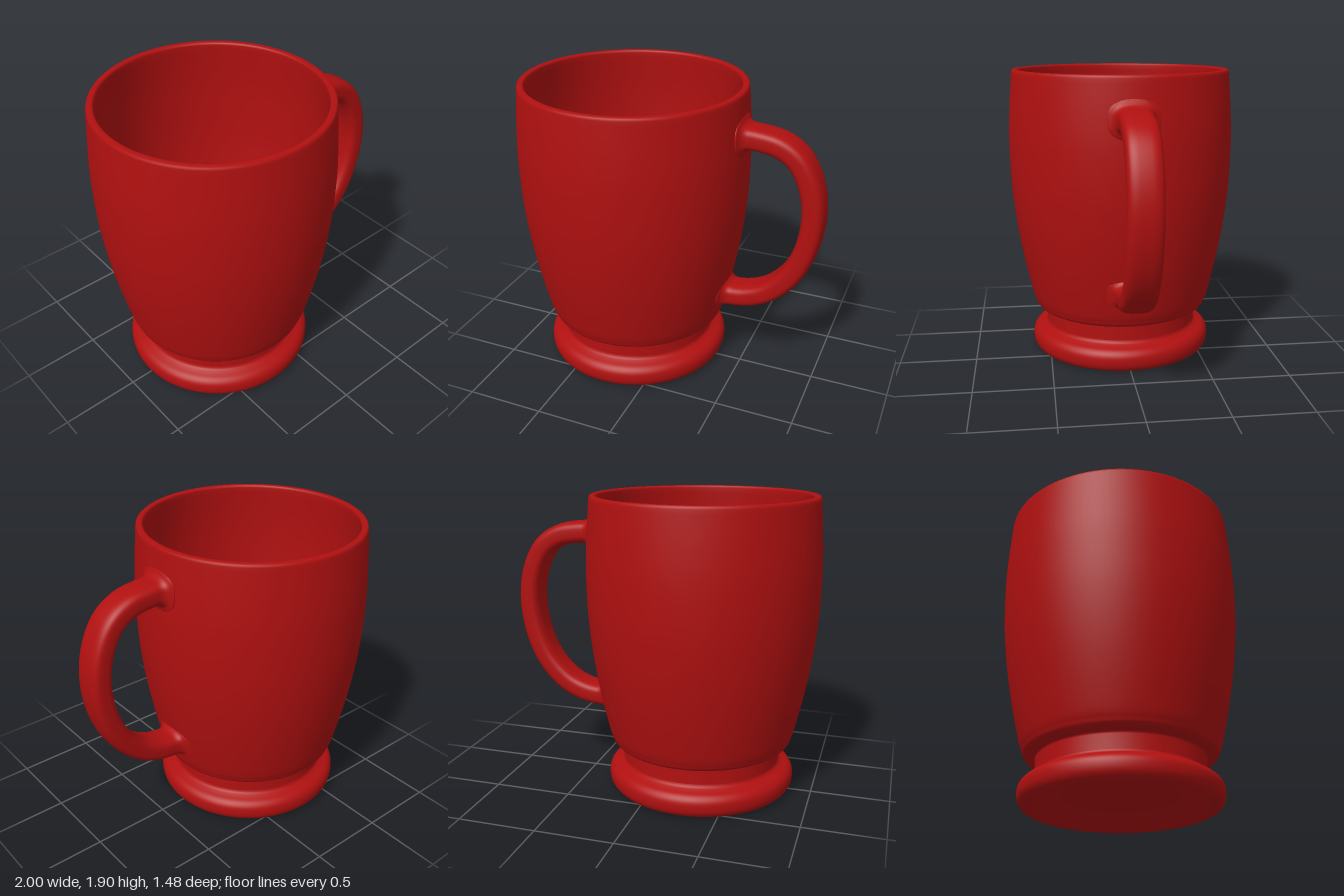
import * as THREE from 'three';

const AXIS_X = -0.26;
const v2 = ([x, y]) => new THREE.Vector2(x, y);
const spline = (pts, n) => new THREE.SplineCurve(pts.map(v2)).getPoints(n);

// outer wall of the cup: radius, height
const wall = spline([[0.59, 0.34], [0.61, 0.4], [0.655, 0.6], [0.692, 0.8], [0.719, 1.0],
  [0.735, 1.2], [0.74, 1.45], [0.732, 1.65], [0.715, 1.88]], 48);

function wallRadius(y) {
  const i = Math.max(1, wall.findIndex((p) => p.y >= y));
  const a = wall[i - 1], b = wall[i];
  return a.x + (b.x - a.x) * (y - a.y) / (b.y - a.y);
}

// one closed turned profile: underside, foot, neck, wall, lip, inside
function makeBody(material) {
  const foot = spline([[0.55, 0], [0.585, 0.01], [0.605, 0.04], [0.61, 0.08], [0.603, 0.115],
    [0.58, 0.142], [0.545, 0.158], [0.52, 0.172], [0.511, 0.19]], 32);
  const shoulder = spline([[0.51, 0.28], [0.515, 0.293], [0.54, 0.298], [0.57, 0.307], [0.585, 0.325]], 14);
  const inside = spline([[0.668, 1.885], [0.683, 1.65], [0.685, 1.45], [0.677, 1.2], [0.659, 1.0],
    [0.63, 0.8], [0.588, 0.6], [0.545, 0.46], [0.51, 0.39], [0.455, 0.35], [0.425, 0.31],
    [0.415, 0.26], [0.395, 0.22], [0.36, 0.205]], 64);
  const profile = [
    ...[[0, 0.08], [0.34, 0.08], [0.36, 0.078], [0.42, 0.06], [0.49, 0.02], [0.515, 0.003], [0.525, 0]].map(v2),
    ...foot, ...shoulder, ...wall,
    ...[[0.712, 1.893], [0.704, 1.9], [0.68, 1.9], [0.672, 1.896]].map(v2),
    ...inside, v2([0.34, 0.203]), v2([0, 0.203]),
  ];
  const body = new THREE.Mesh(new THREE.LatheGeometry(profile, 96), material);
  body.name = 'cupBody';
  body.position.x = AXIS_X;
  return body;
}

// rounded-rectangle section swept along the grip, flaring where it meets the wall
function makeHandle(material) {
  const path = new THREE.SplineCurve([[0.445, 1.64], [0.55, 1.64], [0.7, 1.613], [0.82, 1.53],
    [0.9, 1.37], [0.927, 1.18], [0.9, 0.97], [0.82, 0.775], [0.69, 0.63], [0.54, 0.557],
    [0.365, 0.535]].map(v2));
  const rings = 120, sides = 40, fillet = 0.06;
  const positions = [], index = [];
  const rounded = (c) => Math.sign(c) * Math.pow(Math.abs(c), 0.62);
  for (let i = 0; i <= rings; i++) {
    const u = 0.5 - 0.5 * Math.cos(Math.PI * i / rings);
    const p = path.getPointAt(u), t = path.getTangentAt(u);
    for (let j = 0; j < sides; j++) {
      const a = j / sides * Math.PI * 2;
      const n = 0.071 * rounded(Math.cos(a)), z = 0.105 * rounded(Math.sin(a));
      const x = p.x - t.y * n, y = p.y + t.x * n;
      const gap = Math.hypot(x - AXIS_X, z) - wallRadius(y);
      const k = fillet - THREE.MathUtils.clamp(gap, 0, fillet);
      const flare = 0.9 * (fillet - Math.sqrt(fillet * fillet - k * k));
      const len = Math.hypot(n, z);
      const dn = flare * n / len, dz = flare * z / len;
      positions.push(x - t.y * dn, y + t.x * dn, z + dz);
      if (i < rings) {
        const q = i * sides + j, r = i * sides + (j + 1) % sides;
        index.push(q, r, q + sides, r, r + sides, q + sides);
      }
    }
  }
  const geometry = new THREE.BufferGeometry();
  geometry.setAttribute('position', new THREE.Float32BufferAttribute(positions, 3));
  geometry.setIndex(index);
  geometry.computeVertexNormals();
  const handle = new THREE.Mesh(geometry, material);
  handle.name = 'handle';
  return handle;
}

export function createModel() {
  const material = new THREE.MeshStandardMaterial({ color: 0xb01010 });
  const mug = new THREE.Group();
  mug.name = 'mug';
  mug.add(makeBody(material), makeHandle(material));
  return mug;
}
